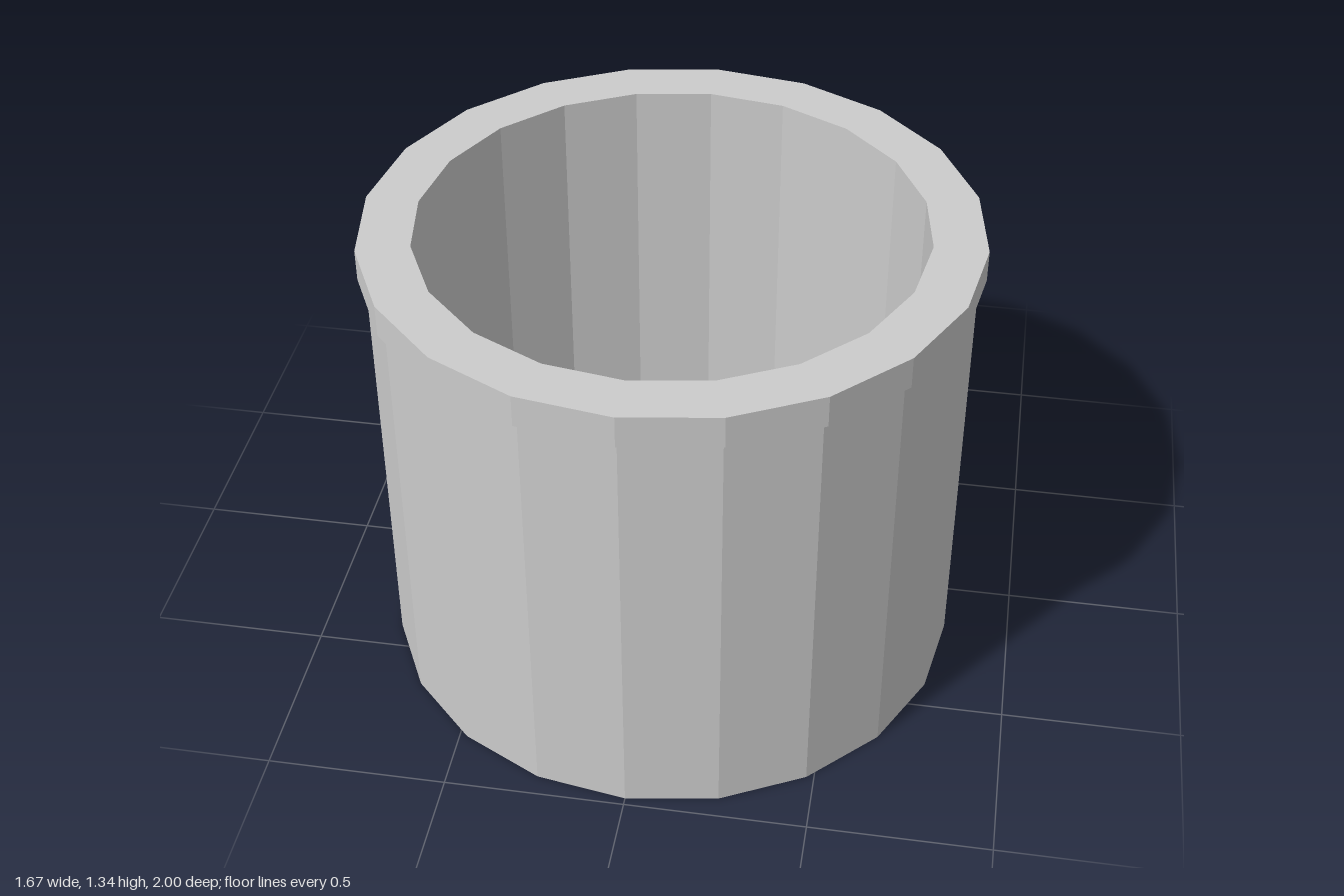
import * as THREE from 'three';

const CENTER_Z = 0.163;
const material = new THREE.MeshStandardMaterial({ color: 0xcccccc, flatShading: true });

function addMesh(group, name, geometry, z = 0) {
  const mesh = new THREE.Mesh(geometry, material);
  mesh.name = name;
  mesh.position.z = z;
  group.add(mesh);
}

function lathe(points, sides, start = 0) {
  return new THREE.LatheGeometry(points.map(p => new THREE.Vector2(...p)), sides, start);
}

// Side profile with a rounded upper back edge, extruded across the width.
function outletGeometry() {
  const half = 0.54, inner = 0.43, radius = 0.37;
  const shape = new THREE.Shape();
  shape.moveTo(inner, 0);
  shape.lineTo(1, 0);
  for (let i = 0; i <= 4; i++) {
    const a = i * Math.PI / 8;
    shape.lineTo(0.63 + radius * Math.cos(a), 0.38 + radius * Math.sin(a));
  }
  shape.lineTo(inner, 0.75);
  const geometry = new THREE.ExtrudeGeometry(shape, { depth: half * 2, steps: 16, bevelEnabled: false });
  geometry.rotateY(Math.PI / 2).translate(-half, 0, 0);

  // Curve the inner end so it stays buried in the middle of the round wall.
  const pos = geometry.attributes.position;
  for (let i = 0; i < pos.count; i++) {
    if (pos.getZ(i) > -inner - 0.01) {
      pos.setZ(i, CENTER_Z - Math.sqrt(0.75 ** 2 - pos.getX(i) ** 2));
    }
  }
  geometry.computeVertexNormals();
  return geometry;
}

export function createModel() {
  const group = new THREE.Group();

  // Open round vessel with a closed floor.
  addMesh(group, 'vessel', lathe([
    [0, 0], [0.815, 0], [0.815, 1.25], [0.69, 1.25], [0.69, 0.12], [0, 0.12],
  ], 20), CENTER_Z);

  // Slightly wider lip around the opening.
  addMesh(group, 'rim', lathe([
    [0.69, 1.25], [0.835, 1.25], [0.835, 1.34], [0.69, 1.34], [0.69, 1.25],
  ], 20), CENTER_Z);

  // Raised ring on the floor.
  addMesh(group, 'drainRing', lathe([
    [0.35, 0.12], [0.35, 0.18], [0.23, 0.18], [0.23, 0.12],
  ], 14, Math.PI / 2), CENTER_Z);

  addMesh(group, 'rearOutlet', outletGeometry());
  return group;
}
